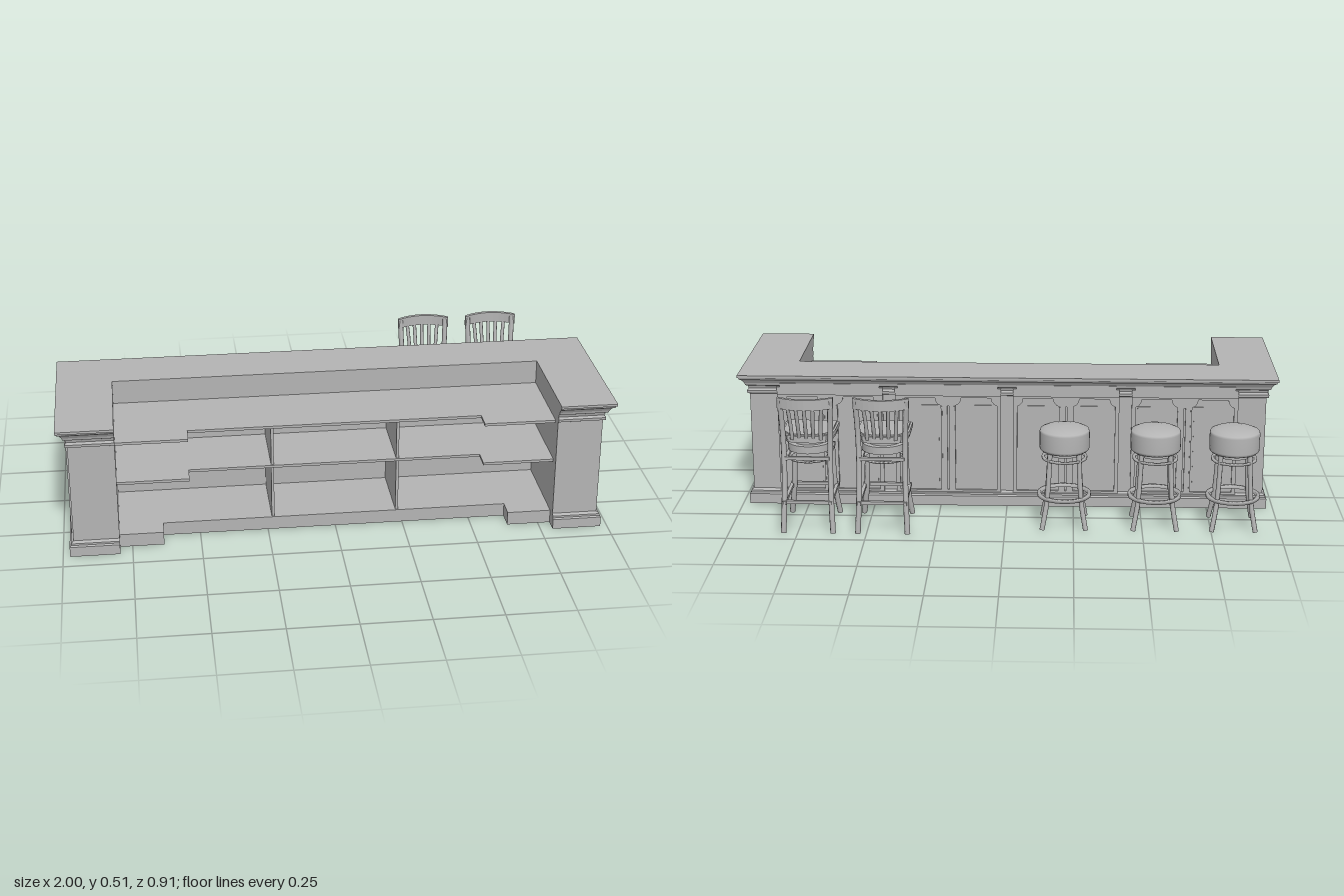
import * as THREE from 'three';

const grey = new THREE.MeshStandardMaterial({ color: 0xb4b4b4 });
grey.name = 'grey';

function add(parent, name, geometry, x = 0, y = 0, z = 0) {
  const m = new THREE.Mesh(geometry, grey);
  m.name = name;
  m.position.set(x, y, z);
  parent.add(m);
  return m;
}
const box = (p, name, w, h, d, x, y, z) => add(p, name, new THREE.BoxGeometry(w, h, d), x, y, z);

// Horizontal slab from a plan outline of [x, z] points
function slab(points, y, h) {
  const shape = new THREE.Shape(points.map(([x, z]) => new THREE.Vector2(x, -z)));
  const g = new THREE.ExtrudeGeometry(shape, { depth: h, bevelEnabled: false });
  return g.rotateX(-Math.PI / 2).translate(0, y, 0);
}

function rod(points, r) {
  const curve = new THREE.CatmullRomCurve3(points.map(p => new THREE.Vector3(...p)));
  return new THREE.TubeGeometry(curve, 10, r, 8);
}

// U-shaped plan of the bar, pushed outward by d
function uPlan(d) {
  const x = 0.96 + d, f = 0.417 + d, b = -0.114 - d, i = 0.795;
  return [[-i, f], [-x, f], [-x, b], [x, b], [x, f], [i, f], [i, 0.05], [-i, 0.05]];
}

// Moulded walls: stacked plan loops following a [height, offset] profile
function mouldedWalls() {
  const profile = [[0, 0.015], [0.038, 0.015], [0.043, 0.01], [0.05, 0.01], [0.057, 0],
    [0.43, 0], [0.434, 0.008], [0.444, 0.009], [0.452, 0.003], [0.462, 0.006], [0.466, 0.014],
    [0.476, 0.017], [0.487, 0.024], [0.493, 0.033], [0.501, 0.036]];
  const pos = [];
  for (let k = 0; k < profile.length - 1; k++) {
    const [y0, d0] = profile[k], [y1, d1] = profile[k + 1];
    const lo = uPlan(d0), hi = uPlan(d1);
    for (let i = 0; i < 8; i++) {
      const j = (i + 1) % 8;
      const a = [lo[i][0], y0, lo[i][1]], b = [lo[j][0], y0, lo[j][1]];
      const c = [hi[j][0], y1, hi[j][1]], d = [hi[i][0], y1, hi[i][1]];
      pos.push(...a, ...d, ...c, ...a, ...c, ...b);
    }
  }
  const g = new THREE.BufferGeometry();
  g.setAttribute('position', new THREE.Float32BufferAttribute(pos, 3));
  g.computeVertexNormals();
  return g;
}

// Raised panel module with two notched openings and grooved centre post, facing +z
function panelModule() {
  const g = new THREE.Group();
  g.name = 'panelModule';
  const poly = pts => pts.map(([x, y]) => new THREE.Vector2(x, y));
  const frame = new THREE.Shape(poly([[-0.197, 0.052], [0.197, 0.052], [0.197, 0.44], [-0.197, 0.44]]));
  for (const s of [-1, 1]) {
    frame.holes.push(new THREE.Path(poly([[0.027, 0.06], [0.182, 0.06], [0.182, 0.392],
      [0.172, 0.397], [0.163, 0.408], [0.16, 0.422], [0.049, 0.422], [0.046, 0.408], [0.037, 0.397],
      [0.027, 0.392]].map(([x, y]) => [s * x, y]))));
  }
  frame.holes.push(new THREE.Path(poly([[-0.003, 0.06], [0.003, 0.06], [0.003, 0.39], [-0.003, 0.39]])));
  add(g, 'panelFrame', new THREE.ExtrudeGeometry(frame, { depth: 0.009, bevelEnabled: false }), 0, 0, -0.001);
  // Stepped header breaking forward through the cornice
  box(g, 'panelHeader', 0.394, 0.03, 0.016, 0, 0.445, 0.006);
  box(g, 'panelHeaderCap', 0.37, 0.018, 0.02, 0, 0.467, 0.009);
  // Inner field with a thin border and post beads
  for (const s of [-1, 1]) {
    box(g, 'panelField', 0.14, 0.325, 0.003, s * 0.1045, 0.23, 0.0005);
    box(g, 'postBead', 0.005, 0.33, 0.004, s * 0.024, 0.225, 0.009);
  }
  return g;
}

function buildBar() {
  const bar = new THREE.Group();
  bar.name = 'bar';
  add(bar, 'mouldedWalls', mouldedWalls());
  add(bar, 'barTop', slab(uPlan(0.04), 0.501, 0.009));
  add(bar, 'barFootprint', slab(uPlan(0.015), 0, 0.02));

  // Inside counter, shelf and floor, each stepping forward at the ends
  const stepped = step => [[-0.795, 0.05], [0.795, 0.05], [0.795, 0.38], [step, 0.38],
    [step, 0.31], [-step, 0.31], [-step, 0.38], [-0.795, 0.38]];
  add(bar, 'workCounter', slab(stepped(0.535), 0.411, 0.01));
  add(bar, 'shelf', slab(stepped(0.535), 0.253, 0.01));
  add(bar, 'floorPlinth', slab(stepped(0.635), 0, 0.05));
  for (const x of [-0.23, 0.23]) box(bar, 'shelfDivider', 0.01, 0.362, 0.255, x, 0.231, 0.1775);

  for (const x of [-0.66, -0.22, 0.22, 0.66]) {
    const p = panelModule();
    p.position.set(x, 0, -0.114);
    p.rotation.y = Math.PI;
    bar.add(p);
  }
  for (const s of [-1, 1]) {
    const p = panelModule();
    p.position.set(s * 0.96, 0, 0.1515);
    p.rotation.y = s * Math.PI / 2;
    bar.add(p);
  }
  return bar;
}

function flatRing(r, w, h) {
  const pts = [[r - w, -h / 2], [r, -h / 2], [r, h / 2], [r - w, h / 2], [r - w, -h / 2]];
  return new THREE.LatheGeometry(pts.map(p => new THREE.Vector2(...p)), 32).toNonIndexed();
}

function buildStool() {
  const g = new THREE.Group();
  g.name = 'roundStool';
  const pts = [[0, 0.288], [0.084, 0.288], [0.09, 0.294], [0.091, 0.3], [0.091, 0.358],
    [0.088, 0.366], [0.07, 0.374], [0.04, 0.38], [0, 0.382]];
  add(g, 'seatCushion', new THREE.LatheGeometry(pts.map(p => new THREE.Vector2(...p)), 32));
  add(g, 'swivelPlate', new THREE.CylinderGeometry(0.065, 0.065, 0.015, 24), 0, 0.281, 0);
  for (let i = 0; i < 4; i++) {
    const leg = add(g, 'stoolLeg', rod([[0.074, 0.288, 0], [0.079, 0.2, 0], [0.089, 0.1, 0], [0.112, 0.004, 0]], 0.009));
    leg.rotation.y = Math.PI / 4 + i * Math.PI / 2;
  }
  add(g, 'upperRing', flatRing(0.083, 0.01, 0.008), 0, 0.26, 0);
  add(g, 'footRing', flatRing(0.098, 0.012, 0.012), 0, 0.118, 0);
  return g;
}

function buildChair() {
  const g = new THREE.Group();
  g.name = 'barChair';
  // Seat: straight at the front, tapering to a rounded back
  const seat = [[-0.092, 0.1], [0.092, 0.1], [0.098, 0.092], [0.096, 0], [0.09, -0.045], [0.07, -0.075],
    [0.035, -0.088], [-0.035, -0.088], [-0.07, -0.075], [-0.09, -0.045], [-0.096, 0], [-0.098, 0.092]];
  add(g, 'seatBase', slab(seat.map(([x, z]) => [x * 0.97, z * 0.97]), 0.337, 0.01));
  add(g, 'seatPad', slab(seat, 0.347, 0.016));
  add(g, 'seatPadTop', slab(seat.map(([x, z]) => [x * 0.92, z * 0.92]), 0.363, 0.006));
  add(g, 'swivelHousing', new THREE.CylinderGeometry(0.08, 0.08, 0.028, 28), 0, 0.304, 0.01);
  add(g, 'swivelNeck', new THREE.CylinderGeometry(0.06, 0.06, 0.02, 24), 0, 0.327, 0.01);
  for (const s of [-1, 1]) {
    add(g, 'frontLeg', rod([[s * 0.07, 0.29, 0.085], [s * 0.072, 0.2, 0.087], [s * 0.077, 0.1, 0.093],
      [s * 0.09, 0.004, 0.108]], 0.01));
    add(g, 'backPost', rod([[s * 0.09, 0.004, -0.113], [s * 0.085, 0.12, -0.098], [s * 0.083, 0.25, -0.08],
      [s * 0.085, 0.36, -0.073], [s * 0.09, 0.5, -0.092]], 0.01));
    // Side stretchers
    box(g, 'sideFootrest', 0.012, 0.012, 0.225, s * 0.083, 0.118, 0);
    box(g, 'upperSideRail', 0.012, 0.012, 0.19, s * 0.075, 0.279, 0.005);
  }
  box(g, 'frontFootrest', 0.18, 0.012, 0.012, 0, 0.118, 0.106);
  box(g, 'backFootrest', 0.17, 0.012, 0.012, 0, 0.118, -0.1);
  box(g, 'upperBackRail', 0.16, 0.012, 0.012, 0, 0.279, -0.082);
  add(g, 'upperRing', flatRing(0.08, 0.01, 0.006), 0, 0.26, 0.005);

  // Curved top rail and slats
  const arc = (x, z) => z - 0.033 * (1 - (x / 0.1) ** 2);
  const xs = Array.from({ length: 11 }, (_, i) => -0.1 + i * 0.02);
  const rail = [...xs.map(x => [x, arc(x, -0.079)]), ...xs.slice().reverse().map(x => [x, arc(x, -0.093)])];
  add(g, 'topRail', slab(rail, 0.47, 0.039));
  for (let i = -2; i <= 2; i++) {
    const x = i * 0.03;
    add(g, 'backSlat', rod([[x * 0.85, 0.35, -0.08], [x * 0.9, 0.41, arc(x, -0.07)], [x, 0.475, arc(x, -0.086)]], 0.007));
  }
  return g;
}

export function createModel() {
  const model = new THREE.Group();
  model.name = 'barWithSeating';
  model.add(buildBar());
  for (const x of [-0.83, -0.545, -0.215]) {
    const s = buildStool();
    s.position.set(x, 0, -0.308);
    model.add(s);
  }
  for (const x of [0.44, 0.71]) {
    const c = buildChair();
    c.position.set(x, 0, -0.332);
    model.add(c);
  }
  return model;
}
